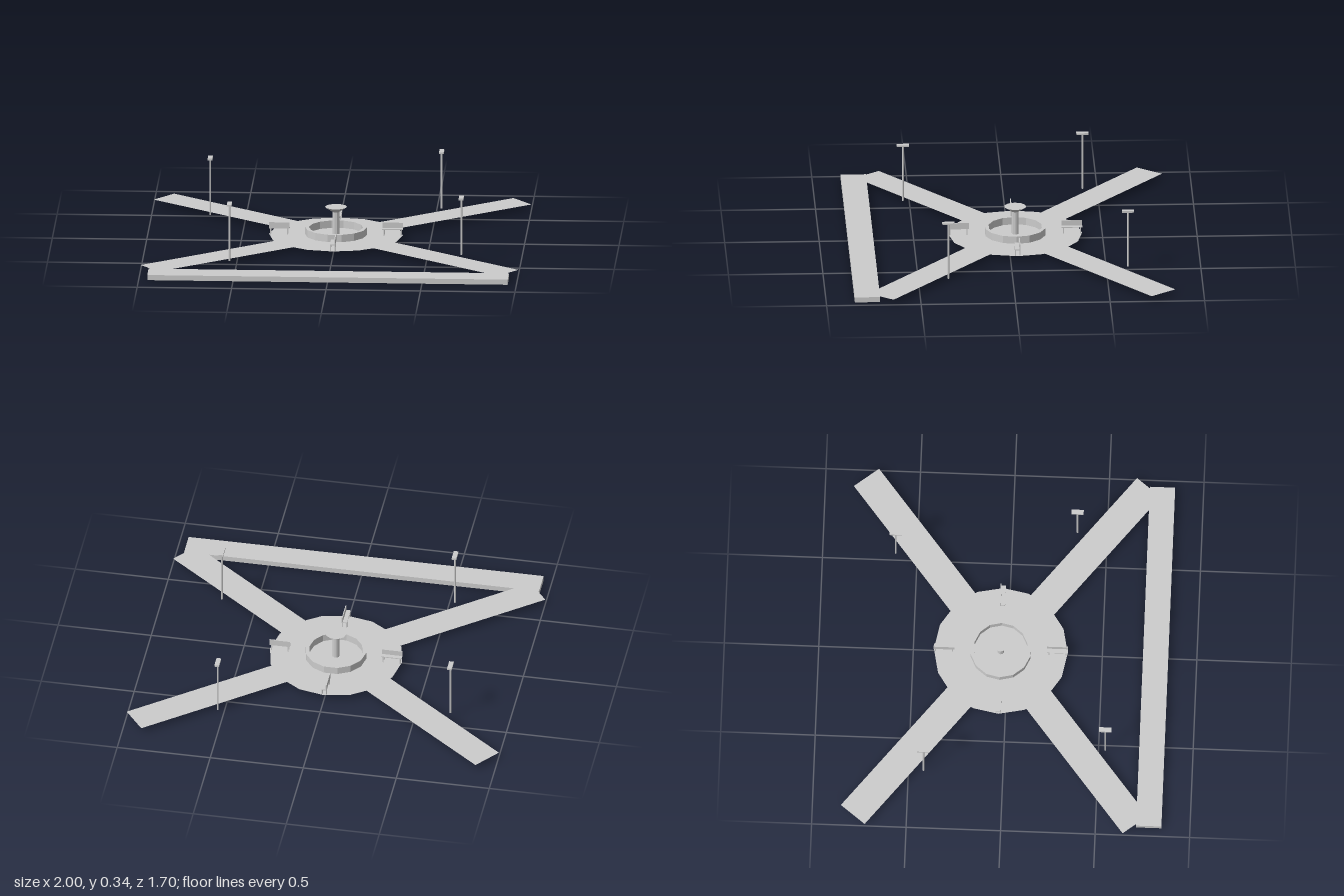
import * as THREE from 'three';

export function createModel() {
  const root = new THREE.Group();
  root.name = 'plaza';
  const grey = new THREE.MeshStandardMaterial({ color: 0xcccccc, flatShading: true, side: THREE.DoubleSide });
  grey.name = 'light grey';

  const GROUND = 0.029; // walking level
  const CZ = -0.037;    // plaza centre in z

  const add = (parent, geometry, name, x = 0, y = 0, z = 0) => {
    const mesh = new THREE.Mesh(geometry, grey);
    mesh.name = name;
    mesh.position.set(x, y, z);
    parent.add(mesh);
    return mesh;
  };
  const box = (parent, name, w, h, d, x, y, z) =>
    add(parent, new THREE.BoxGeometry(w, h, d), name, x, y, z);

  // Front pavement slab
  box(root, 'frontPavement', 1.908, 0.028, 0.134, 0, 0.014, 0.782);

  const centre = new THREE.Group();
  centre.name = 'centre';
  centre.position.set(0, GROUND, CZ);
  root.add(centre);

  // Round plaza floor
  add(centre, new THREE.CircleGeometry(0.354, 16).rotateX(-Math.PI / 2), 'plazaFloor', 0, 0.001, 0);

  // Four diagonal paths
  const inner = 0.25, outer = 1.208;
  const pathAngle = Math.atan2(0.748, 0.95);
  for (const a of [pathAngle, Math.PI - pathAngle, Math.PI + pathAngle, -pathAngle]) {
    const path = new THREE.PlaneGeometry(outer - inner, 0.165).rotateX(-Math.PI / 2);
    path.translate((inner + outer) / 2, 0, 0).rotateY(a);
    add(centre, path, 'path');
  }

  // Fountain: basin ring, column and flared bowl
  const fountain = new THREE.Group();
  fountain.name = 'fountain';
  centre.add(fountain);
  const lathe = (points, sides) =>
    new THREE.LatheGeometry(points.map(([r, y]) => new THREE.Vector2(r, y)), sides, Math.PI / 2);
  add(fountain, lathe([[0.163, 0], [0.163, 0.041], [0.143, 0.041], [0.143, 0]], 14), 'basinRing');
  add(fountain, lathe([[0.019, 0], [0.019, 0.126], [0.059, 0.153], [0, 0.153]], 10), 'columnAndBowl');

  // Four benches set radially around the fountain
  for (let i = 0; i < 4; i++) {
    const bench = new THREE.Group();
    bench.name = 'bench';
    bench.rotation.y = i * Math.PI / 2;
    centre.add(bench);
    box(bench, 'seat', 0.11, 0.005, 0.028, 0.3, 0.036, 0);
    box(bench, 'backrest', 0.11, 0.033, 0.005, 0.3, 0.051, -0.0115);
    for (const x of [0.255, 0.345])
      for (const z of [-0.011, 0.011])
        box(bench, 'leg', 0.005, 0.035, 0.005, x, 0.0175, z);
  }

  // Street lamps beside the paths
  for (const [x, z] of [[-0.685, -0.42], [0.53, -0.613], [0.683, 0.343], [-0.535, 0.536]]) {
    const lamp = new THREE.Group();
    lamp.name = 'lamp';
    lamp.position.set(x, GROUND, z);
    root.add(lamp);
    add(lamp, new THREE.CylinderGeometry(0.005, 0.005, 0.306, 8), 'lampPole', 0, 0.153, 0);
    box(lamp, 'lampHead', 0.025, 0.01, 0.065, 0, 0.31, 0);
  }
  return root;
}
